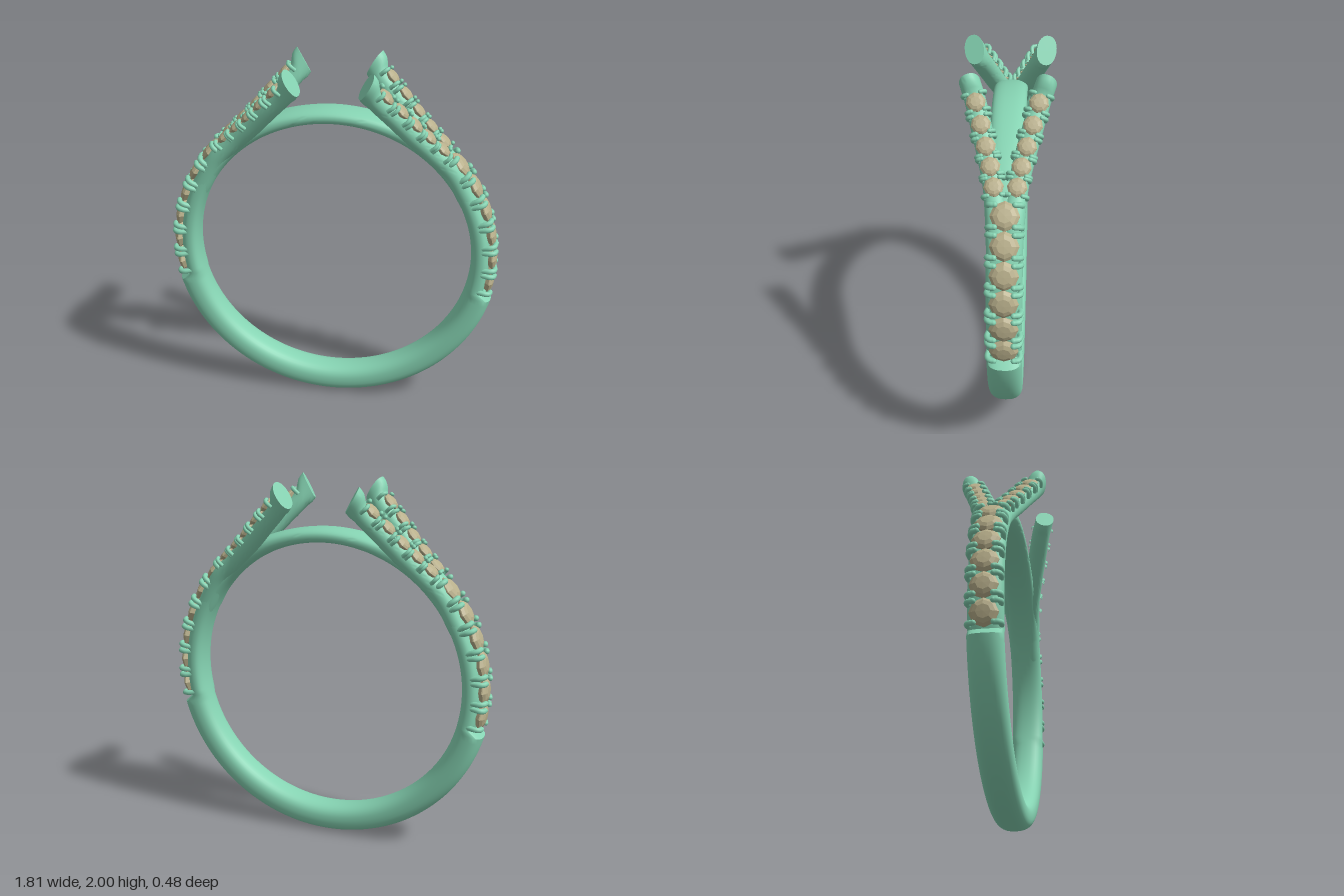
import * as THREE from 'three';
import { mergeGeometries, toCreasedNormals } from 'three/addons/utils/BufferGeometryUtils.js';

const V = (x, y, z) => new THREE.Vector3(x, y, z);
const metal = new THREE.MeshStandardMaterial({ color: 0x86d4b3 });
const stone = new THREE.MeshStandardMaterial({ color: 0xb9b08c, flatShading: true });
const CY = 0.91, INNER = 0.755, SIDES = 32;

// One rounded cross-section; skew shifts it along the path to slant the end.
function section(c, t, n, halfH, halfW, power, skew = 0) {
  const b = n.clone().cross(t), pts = [];
  for (let k = 0; k < SIDES; k++) {
    const a = (k / SIDES) * Math.PI * 2;
    const soft = (v) => Math.sign(v) * Math.abs(v) ** (2 / power);
    const h = halfH * soft(Math.cos(a)), w = halfW * soft(Math.sin(a));
    pts.push(c.clone().addScaledVector(n, h).addScaledVector(b, w).addScaledVector(t, skew * h));
  }
  return pts;
}

// Skin a list of cross-sections, as a closed loop or with a flat end cap.
function loft(rings, closed) {
  const pos = [], idx = [], N = rings.length;
  rings.flat().forEach((p) => pos.push(p.x, p.y, p.z));
  for (let i = 0; i < (closed ? N : N - 1); i++) {
    for (let k = 0; k < SIDES; k++) {
      const k2 = (k + 1) % SIDES, j = (i + 1) % N;
      const a = i * SIDES + k, b = j * SIDES + k, c = j * SIDES + k2, d = i * SIDES + k2;
      idx.push(a, b, c, a, c, d);
    }
  }
  if (!closed) {
    const end = rings[N - 1], m = V(0, 0, 0);
    end.forEach((p) => m.addScaledVector(p, 1 / SIDES));
    pos.push(m.x, m.y, m.z);
    for (let k = 0; k < SIDES; k++) idx.push(N * SIDES, (N - 1) * SIDES + (k + 1) % SIDES, (N - 1) * SIDES + k);
  }
  const g = new THREE.BufferGeometry();
  g.setAttribute('position', new THREE.Float32BufferAttribute(pos, 3));
  g.setIndex(idx);
  return toCreasedNormals(g, 0.7);
}

// Full band: thick below, lowered under the stones, thin across the top.
function bandGeometry() {
  const rings = [], steps = 180;
  for (let i = 0; i < steps; i++) {
    const a = ((i + 0.5) / steps) * Math.PI * 2;
    const n = V(Math.cos(a), Math.sin(a), 0), t = V(-n.y, n.x, 0);
    const elev = THREE.MathUtils.radToDeg(Math.asin(n.y));
    const outer = elev < -13.5 ? 0.91 : 0.855 - 0.02 * THREE.MathUtils.smoothstep(elev, 45, 85);
    const c = n.clone().multiplyScalar((outer + INNER) / 2).add(V(0, CY, 0));
    rings.push(section(c, t, n, (outer - INNER) / 2, 0.09, 2.5));
  }
  return loft(rings, true);
}

// Faceted stone of unit girdle radius
const gemGeo = new THREE.LatheGeometry(
  [[0, -0.75], [0.6, -0.5], [1, -0.04], [1, 0.04], [0.8, 0.22], [0.5, 0.34], [0, 0.36]].map(([x, y]) => new THREE.Vector2(x, y)), 8);

// Four prongs curling over a unit stone
function prongGeometry(px, r) {
  const parts = [];
  for (const sx of [-1, 1]) for (const sz of [-1, 1]) {
    const path = [[-0.75, 1.02], [-0.1, 1.12], [0.16, 0.98], [0.24, 0.66]].map(([y, z]) => V(sx * px, y, sz * z));
    parts.push(new THREE.TubeGeometry(new THREE.CatmullRomCurve3(path), 8, r, 8));
    parts.push(new THREE.SphereGeometry(r, 8, 6).translate(path[3].x, path[3].y, path[3].z));
  }
  return mergeGeometries(parts);
}
const bigProngs = prongGeometry(0.73, 0.2), smallProngs = prongGeometry(0.86, 0.22);

function setting(name, pos, t, n, size, prongs) {
  const g = new THREE.Group();
  g.name = name;
  const gem = new THREE.Mesh(gemGeo, stone), claws = new THREE.Mesh(prongs, metal);
  gem.name = 'stone';
  claws.name = 'prongs';
  g.add(gem, claws);
  g.quaternion.setFromRotationMatrix(new THREE.Matrix4().makeBasis(t, n, t.clone().cross(n)));
  g.position.copy(pos);
  g.scale.setScalar(size);
  return g;
}

// Forked arm leaving the band on one side of z
function arm(side) {
  const g = new THREE.Group();
  g.name = side > 0 ? 'frontArm' : 'backArm';
  const curve = new THREE.CatmullRomCurve3([
    [0.743, 1.257, 0.035], [0.636, 1.444, 0.045], [0.53, 1.552, 0.06], [0.43, 1.652, 0.09],
    [0.335, 1.757, 0.125], [0.245, 1.855, 0.158], [0.19, 1.93, 0.188],
  ].map(([x, y, z]) => V(x, y, z * side)));
  const frame = (u) => {
    const t = curve.getTangentAt(u), c = curve.getPointAt(u);
    const b = V(0, 0, 1).addScaledVector(t, -t.z).normalize();
    return { c, t, n: t.clone().cross(b) };
  };
  const rings = [], steps = 48;
  for (let i = 0; i <= steps; i++) {
    const u = i / steps, { c, t, n } = frame(u);
    const tip = THREE.MathUtils.smoothstep(u, 0.9, 0.97);
    const top = 0.038 + 0.032 * tip, bottom = -0.062 - 0.008 * tip;
    c.addScaledVector(n, (top + bottom) / 2);
    rings.push(section(c, t, n, (top - bottom) / 2, 0.053, 2.15, 0.44 * THREE.MathUtils.smoothstep(u, 0.8, 1)));
  }
  const body = new THREE.Mesh(loft(rings, false), metal);
  body.name = 'armBody';
  g.add(body);
  for (const u of [0.386, 0.502, 0.62, 0.743, 0.872]) {
    const { c, t, n } = frame(u);
    g.add(setting('smallSetting', c.addScaledVector(n, 0.046), t, n, 0.05, smallProngs));
  }
  return g;
}

// Shoulder: six large stones on the band and two forked arms
function shoulder(name) {
  const g = new THREE.Group();
  g.name = name;
  for (let i = 0; i < 6; i++) {
    const a = THREE.MathUtils.degToRad(-8 + i * 9.5);
    const n = V(Math.cos(a), Math.sin(a), 0), t = V(-n.y, n.x, 0);
    g.add(setting('largeSetting', n.clone().multiplyScalar(0.87).add(V(0, CY, 0)), t, n, 0.074, bigProngs));
  }
  g.add(arm(1), arm(-1));
  return g;
}

export function createModel() {
  const model = new THREE.Group();
  model.name = 'ring';
  const band = new THREE.Mesh(bandGeometry(), metal);
  band.name = 'band';
  const left = shoulder('leftShoulder'), right = shoulder('rightShoulder');
  right.rotation.y = Math.PI;
  model.add(band, left, right);
  return model;
}
